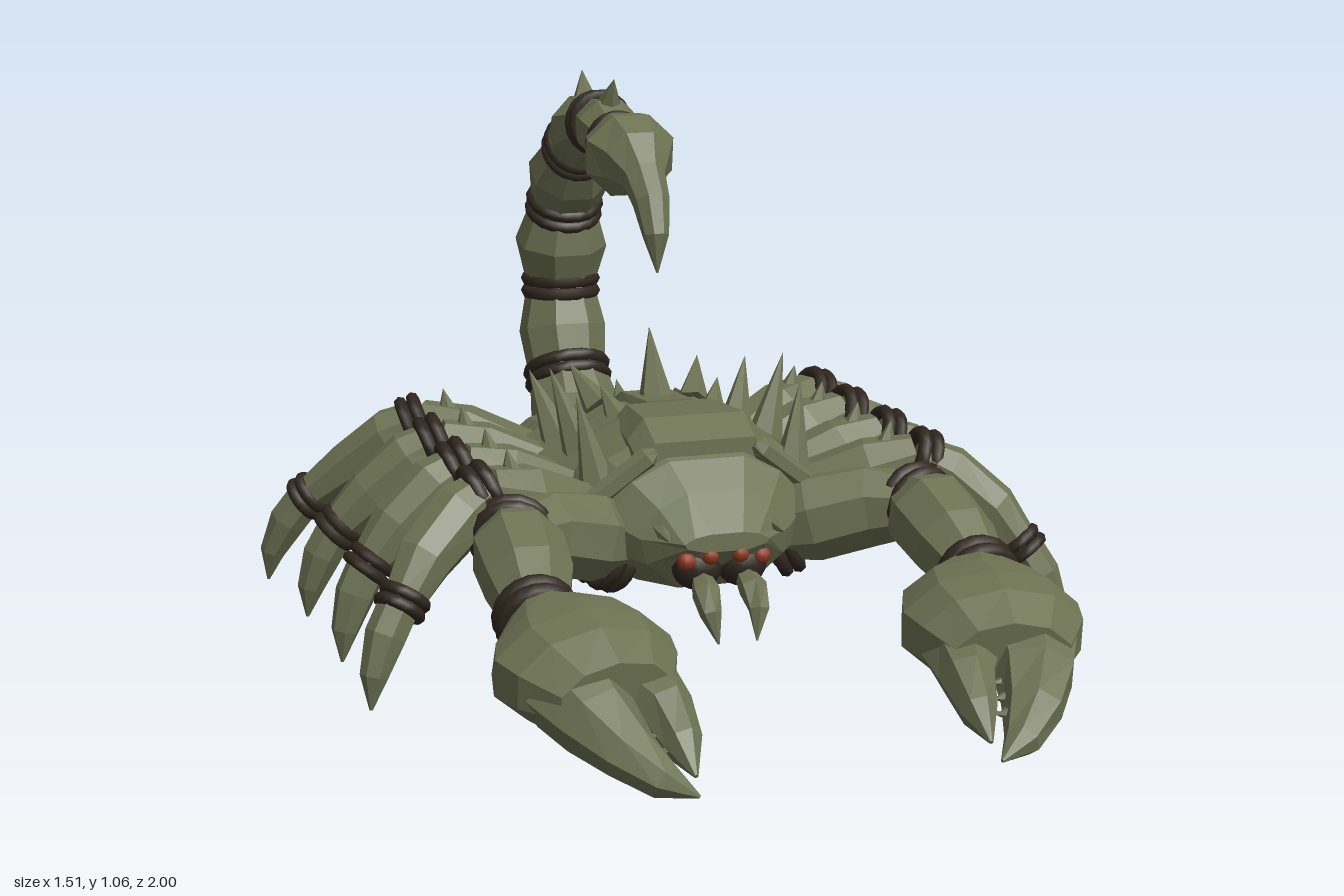
import * as THREE from 'three';

const V = (x, y, z) => new THREE.Vector3(x, y, z);
const Z = V(0, 0, 1), Y = V(0, 1, 0);

export function createModel() {
  const model = new THREE.Group();
  const mat = (name, color) => Object.assign(new THREE.MeshStandardMaterial({ color }), { name });
  const shell = mat('olive shell', 0x6d7253);
  const dark = mat('dark joint', 0x30261e);
  const red = mat('eye red', 0x8f3a22);

  const add = (name, geo, material = shell, parent = model) => {
    const m = new THREE.Mesh(geo, material);
    m.name = name;
    parent.add(m);
    return m;
  };
  const facet = (geo) => {
    const g = geo.index ? geo.toNonIndexed() : geo;
    g.computeVertexNormals();
    return g;
  };

  // Closed skin over rings of equal length, counter-clockwise about the direction of travel
  function skin(rings) {
    const pos = [], n = rings[0].length;
    const tri = (...ps) => ps.forEach((p) => pos.push(p.x, p.y, p.z));
    const mid = (r) => r.reduce((a, p) => a.add(p), V(0, 0, 0)).divideScalar(n);
    const first = rings[0], last = rings[rings.length - 1], c0 = mid(first), c1 = mid(last);
    for (let i = 0; i < n; i++) {
      const j = (i + 1) % n;
      for (let k = 0; k < rings.length - 1; k++) {
        const a = rings[k], b = rings[k + 1];
        tri(a[i], a[j], b[j]);
        tri(a[i], b[j], b[i]);
      }
      tri(c0, first[j], first[i]);
      tri(c1, last[i], last[j]);
    }
    const g = new THREE.BufferGeometry();
    g.setAttribute('position', new THREE.Float32BufferAttribute(pos, 3));
    return facet(g);
  }

  const tangent = (pts, i) => {
    const a = pts[Math.max(0, i - 1)], b = pts[Math.min(pts.length - 1, i + 1)];
    return V(b[0] - a[0], b[1] - a[1], b[2] - a[2]).normalize();
  };

  // Limb through points [x, y, z, half width, half height]
  function limb(pts, sides = 8, fixedSide = null) {
    return skin(pts.map((p, i) => {
      const t = tangent(pts, i);
      const side = fixedSide ? fixedSide.clone() : Y.clone().cross(t).normalize();
      const up = t.clone().cross(side);
      return Array.from({ length: sides }, (_, k) => {
        const a = ((k + 0.5) / sides) * Math.PI * 2;
        return V(p[0], p[1], p[2]).addScaledVector(side, Math.cos(a) * p[3])
          .addScaledVector(up, Math.sin(a) * (p[4] ?? p[3]));
      });
    }));
  }

  // Symmetric hull from sections [z, half width, bottom, top], listed back to front
  const BODY = [[0.5, 0], [0.92, 0.28], [1, 0.55], [0.75, 0.85], [0.38, 1]];
  const BAND = [[0.9, 0], [1, 0.3], [0.92, 0.62], [0.68, 0.87], [0.3, 1]];
  const PLATE = [[1, 0], [0.95, 0.55], [0.72, 1]];
  function hull(sections, half = BODY) {
    const profile = [...half, ...[...half].reverse().map(([x, y]) => [-x, y])];
    return skin(sections.map(([z, w, b, t]) => profile.map(([x, y]) => V(x * w, b + y * (t - b), z))));
  }

  function spike(name, base, tip, r) {
    const a = V(...base), d = V(...tip).sub(a), len = d.length();
    const m = add(name, facet(new THREE.ConeGeometry(r, len, 6).translate(0, len / 2, 0)));
    m.position.copy(a);
    m.quaternion.setFromUnitVectors(Y, d.normalize());
  }

  // Pair of dark cords wrapped around a joint
  function wrap(name, p, dir, r, tube = 0.015) {
    const g = new THREE.Group();
    g.name = name;
    for (const o of [-1, 1]) {
      add('cord', new THREE.TorusGeometry(r, tube, 7, 18), dark, g).position.z = o * tube * 0.95;
    }
    g.position.set(p[0], p[1], p[2]);
    g.quaternion.setFromUnitVectors(Z, dir);
    model.add(g);
  }

  // Thorax with overhanging brow, belly and overlapping abdomen bands
  add('carapace', hull([[-0.29, 0.22, 0.09, 0.38], [-0.15, 0.24, 0.1, 0.43], [0, 0.245, 0.12, 0.44],
    [0.14, 0.24, 0.14, 0.43], [0.21, 0.2, 0.15, 0.39], [0.265, 0.15, 0.155, 0.34], [0.335, 0.085, 0.24, 0.275]]));
  add('belly', hull([[-0.75, 0.08, 0.18, 0.26], [-0.67, 0.155, 0.105, 0.275],
    [-0.48, 0.2, 0.083, 0.3], [-0.25, 0.22, 0.08, 0.32], [-0.05, 0.2, 0.1, 0.3]]));
  for (let i = 0; i < 5; i++) {
    const z = -0.3 - i * 0.079, w = 0.232 - i * 0.012, t = 0.37 - i * 0.016;
    add('abdomenBand', hull([[z - 0.09, w * 0.86, 0.17, t - 0.03], [z - 0.072, w, 0.16, t - 0.006],
      [z - 0.03, w, 0.16, t], [z, w * 0.9, 0.17, t - 0.02]], BAND));
    for (const s of [-1, 1]) spike('abdomenStud', [s * (w - 0.02), 0.26 - i * 0.01, z - 0.055],
      [s * (w + 0.015), 0.262 - i * 0.01, z - 0.065], 0.022);
  }

  // Armour plates on the back
  add('headShield', hull([[-0.03, 0.125, 0.38, 0.452], [0.13, 0.143, 0.37, 0.46], [0.2, 0.14, 0.34, 0.425]], PLATE));
  add('backPlate', hull([[-0.32, 0.06, 0.33, 0.39], [-0.2, 0.07, 0.37, 0.44], [-0.03, 0.065, 0.4, 0.455]], PLATE));
  spike('centreSpike', [0, 0.43, -0.12], [0, 0.58, -0.168], 0.038);
  spike('rearSpike', [0, 0.36, -0.36], [0, 0.42, -0.41], 0.028);
  for (const s of [-1, 1]) {
    for (const [y, z, len] of [[0.365, -0.205, 0.14], [0.382, -0.03, 0.13]]) {
      const p = add('sidePlate', facet(new THREE.BoxGeometry(0.19, 0.03, len)));
      p.position.set(s * 0.165, y, z);
      p.rotation.z = -s * 0.5;
    }
    add('browBar', limb([[s * 0.1, 0.41, 0.2, 0.008], [s * 0.115, 0.4, 0.2, 0.022],
      [s * 0.23, 0.31, 0.18, 0.022], [s * 0.245, 0.295, 0.178, 0.008]], 6));
    spike('backSpike', [s * 0.1, 0.41, -0.19], [s * 0.14, 0.49, -0.28], 0.036);
    spike('backSpike', [s * 0.19, 0.35, -0.18], [s * 0.235, 0.49, -0.245], 0.038);
    spike('backSpike', [s * 0.19, 0.36, 0], [s * 0.245, 0.535, -0.04], 0.04);
    spike('backSpike', [s * 0.2, 0.34, 0.14], [s * 0.23, 0.51, 0.105], 0.036);
    spike('backSpike', [s * 0.1, 0.42, -0.06], [s * 0.125, 0.48, -0.1], 0.028);
  }

  // Face under the brow: dark sockets, four eyes, fangs and cheek horns
  for (const s of [-1, 1]) {
    const socket = add('eyeSocket', new THREE.SphereGeometry(1, 14, 10), dark);
    socket.position.set(s * 0.045, 0.203, 0.285);
    socket.scale.set(0.05, 0.047, 0.045);
    for (const [x, y, z] of [[0.03, 0.231, 0.322], [0.075, 0.222, 0.316]]) {
      add('eye', new THREE.SphereGeometry(0.018, 10, 8), red).position.set(s * x, y, z);
    }
    add('fang', limb([[s * 0.043, 0.188, 0.3, 0.018], [s * 0.047, 0.168, 0.35, 0.028],
      [s * 0.048, 0.135, 0.382, 0.021], [s * 0.038, 0.08, 0.4, 0.002]], 6));
    spike('cheekHorn', [s * 0.11, 0.275, 0.25], [s * 0.115, 0.268, 0.34], 0.024);
  }

  // Tail: swelling segments with a wrap at every waist
  const tail = [[-0.6, 0.2, 0.105], [-0.73, 0.255, 0.108], [-0.81, 0.35, 0.088], [-0.853, 0.45, 0.1],
    [-0.866, 0.55, 0.078], [-0.858, 0.65, 0.105], [-0.828, 0.74, 0.075], [-0.78, 0.82, 0.093],
    [-0.71, 0.885, 0.066], [-0.63, 0.933, 0.082], [-0.535, 0.957, 0.058], [-0.46, 0.95, 0.07],
    [-0.395, 0.932, 0.052]].map(([z, y, r]) => [0, y, z, r]);
  add('tail', limb(tail, 8, V(1, 0, 0)));
  for (let i = 2; i < tail.length; i += 2) wrap('tailWrap', tail[i], tangent(tail, i), tail[i][3] * 0.98);
  add('stinger', limb([[0, 0.932, -0.4, 0.048], [0, 0.92, -0.36, 0.085], [0, 0.915, -0.3, 0.1, 0.092],
    [0, 0.905, -0.25, 0.075], [0, 0.88, -0.2, 0.045], [0, 0.838, -0.15, 0.038],
    [0, 0.775, -0.12, 0.027], [0, 0.7, -0.11, 0.002]], 8, V(1, 0, 0)));
  for (const [z, y, tz, ty] of [[-0.925, 0.44, -1, 0.43], [-0.93, 0.66, -0.988, 0.695],
    [-0.83, 0.86, -0.865, 0.925], [-0.645, 0.99, -0.667, 1.06], [-0.455, 1, -0.415, 1.062]]) {
    spike('tailSpike', [0, y, z], [0, ty, tz], 0.03);
  }

  // Legs given by z at root, knee, ankle and tip, plus ankle and tip reach
  const legs = [[0.1, 0.21, 0.31, 0.35, 0.62, 0.69], [0, 0.015, 0.045, 0.06, 0.63, 0.69],
    [-0.16, -0.2, -0.235, -0.25, 0.64, 0.705], [-0.25, -0.39, -0.5, -0.54, 0.655, 0.74]];
  for (const s of [-1, 1]) {
    for (const [z0, z1, z2, z3, x2, x3] of legs) {
      const mix = THREE.MathUtils.lerp;
      const upper = [[s * 0.15, 0.22, z0, 0.055], [s * 0.25, 0.275, mix(z0, z1, 0.35), 0.08],
        [s * 0.36, 0.33, mix(z0, z1, 0.75), 0.073], [s * 0.44, 0.36, z1, 0.05]];
      const lower = [[s * 0.43, 0.362, z1, 0.047], [s * 0.49, 0.328, mix(z1, z2, 0.25), 0.062],
        [s * 0.57, 0.26, mix(z1, z2, 0.66), 0.056], [s * x2, 0.19, z2, 0.04]];
      const foot = [[s * x2, 0.195, z2, 0.04], [s * mix(x2, x3, 0.5), 0.135, mix(z2, z3, 0.45), 0.04],
        [s * mix(x2, x3, 0.88), 0.065, mix(z2, z3, 0.85), 0.027], [s * x3, 0.003, z3, 0.003]];
      add('upperLeg', limb(upper));
      add('lowerLeg', limb(lower));
      add('foot', limb(foot, 7));
      wrap('kneeWrap', [s * 0.445, 0.357, z1], V(s * 0.85, -0.3, z2 - z1).normalize(), 0.051, 0.014);
      wrap('ankleWrap', lower[3], tangent(lower, 3), 0.04, 0.012);
      wrap('hipWrap', [s * 0.185, 0.19, z0], V(s * 0.9, 0.4, 0).normalize(), 0.054, 0.014);
      const kx = s * 0.38, kz = mix(z0, z1, 0.8);
      spike('legStud', [kx, 0.385, kz], [s * 0.39, 0.435, kz], 0.022);
    }

    // Pincer arm
    add('upperArm', limb([[s * 0.14, 0.22, 0.14, 0.06], [s * 0.23, 0.25, 0.18, 0.09],
      [s * 0.34, 0.28, 0.23, 0.085], [s * 0.41, 0.29, 0.3, 0.062]]));
    wrap('shoulderWrap', [s * 0.18, 0.19, 0.155], V(s * 0.85, 0.35, 0.3).normalize(), 0.05, 0.014);
    add('forearm', limb([[s * 0.4, 0.295, 0.27, 0.06], [s * 0.41, 0.28, 0.35, 0.09],
      [s * 0.415, 0.25, 0.45, 0.085], [s * 0.425, 0.212, 0.54, 0.06]]));
    wrap('elbowWrap', [s * 0.405, 0.29, 0.285], V(s * 0.25, -0.15, 0.9).normalize(), 0.066);
    wrap('wristWrap', [s * 0.425, 0.212, 0.535], V(0, -0.3, 0.95).normalize(), 0.064);
    add('palm', limb([[s * 0.425, 0.21, 0.54, 0.065], [s * 0.395, 0.18, 0.61, 0.148, 0.1],
      [s * 0.382, 0.167, 0.69, 0.172, 0.108], [s * 0.375, 0.162, 0.76, 0.155, 0.098],
      [s * 0.362, 0.15, 0.83, 0.11, 0.068]], 10));
    add('outerFinger', limb([[s * 0.42, 0.15, 0.77, 0.095, 0.08], [s * 0.4, 0.12, 0.84, 0.075, 0.068],
      [s * 0.365, 0.085, 0.91, 0.055, 0.048], [s * 0.32, 0.05, 0.965, 0.033], [s * 0.27, 0.028, 0.995, 0.003]], 7));
    add('innerFinger', limb([[s * 0.3, 0.14, 0.76, 0.075, 0.06], [s * 0.277, 0.12, 0.83, 0.05, 0.055],
      [s * 0.268, 0.085, 0.9, 0.034, 0.04], [s * 0.265, 0.05, 0.96, 0.004]], 7));
    for (let i = 0; i < 3; i++) {
      const z = 0.85 + i * 0.03, y = 0.115 - i * 0.018;
      spike('clawTooth', [s * (0.34 - i * 0.012), y, z], [s * (0.312 - i * 0.008), y, z], 0.012);
      spike('clawTooth', [s * 0.285, y, z - 0.01], [s * 0.312, y, z - 0.01], 0.01);
    }
  }
  return model;
}
